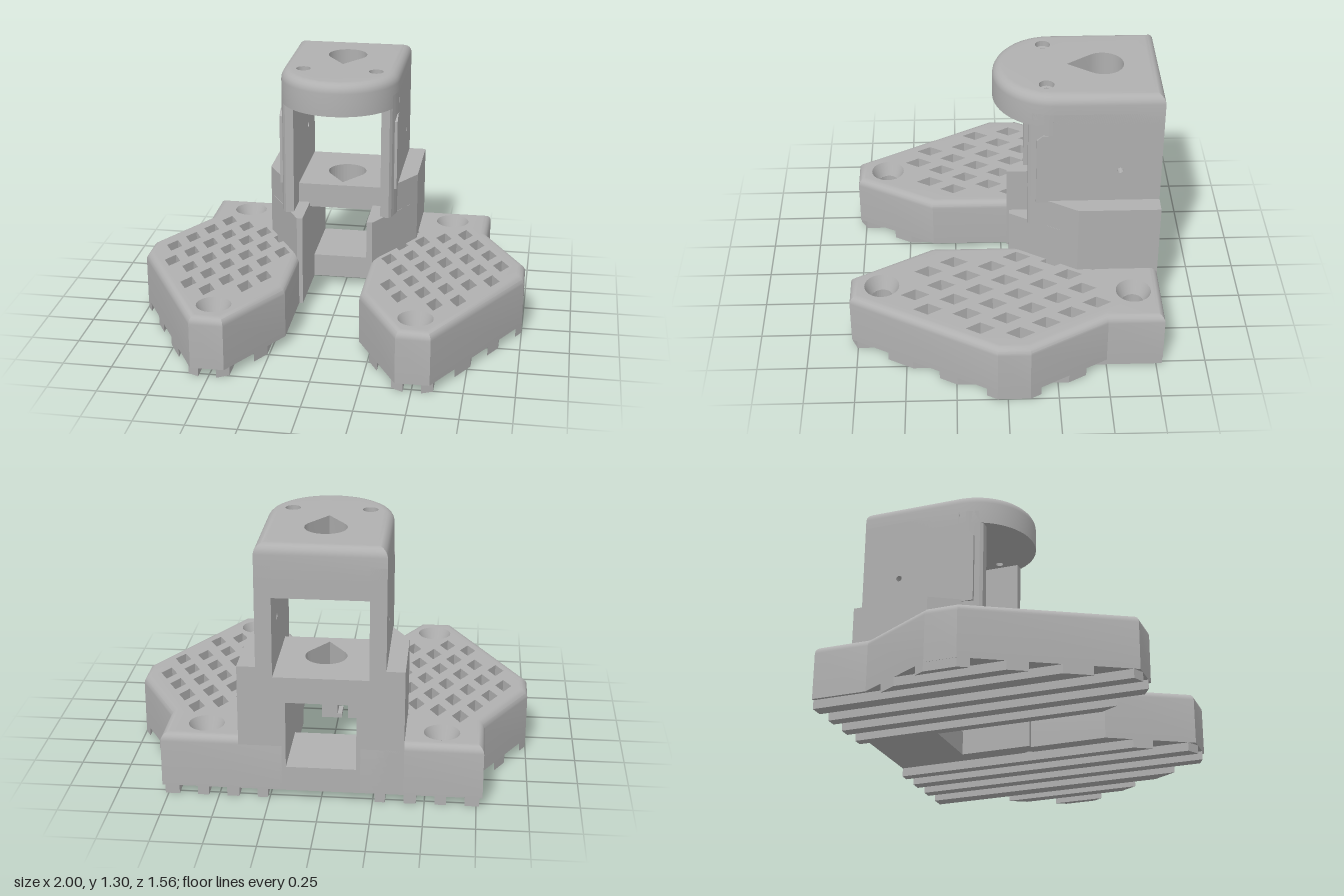
import * as THREE from 'three';
import { mergeGeometries, toCreasedNormals } from 'three/addons/utils/BufferGeometryUtils.js';

const V = (x, z) => new THREE.Vector2(x, z);
const pts = (list, s = 1) => list.map(([x, z]) => V(x * s, z));

// plan outlines, written for the +x side
const FOOT = [[0.19, -0.78], [0.78, -0.78], [0.78, -0.5], [1, -0.11], [1, 0.05], [0.59, 0.78], [0.42, 0.78], [0.19, 0.37]];
const LOWER = [[0.17, -0.78], [0.4, -0.78], [0.4, -0.37], [0.2, -0.03], [0.17, -0.03]];
const MIDDLE = [[0.23, -0.78], [0.4, -0.78], [0.4, -0.37], [0.25, -0.12], [0.23, -0.12]];
const SCREWS = [[0.575, -0.64], [0.5, 0.62]];

// vertical prism from a plan outline
function prism(outline, y0, y1, holes = []) {
  const shape = new THREE.Shape(outline);
  holes.forEach((h) => shape.holes.push(new THREE.Path(h)));
  const g = new THREE.ExtrudeGeometry(shape, { depth: y1 - y0, bevelEnabled: false });
  return g.rotateX(Math.PI / 2).translate(0, y1, 0);
}

// outline moved inward by d with mitred corners
function inset(p, d) {
  const turn = Math.sign(THREE.ShapeUtils.area(p));
  return p.map((c, i) => {
    const a = c.clone().sub(p[(i + p.length - 1) % p.length]).normalize();
    const b = p[(i + 1) % p.length].clone().sub(c).normalize();
    const n1 = V(-a.y, a.x), n2 = V(-b.y, b.x);
    return c.clone().addScaledVector(n1.clone().add(n2), (turn * d) / (1 + n1.dot(n2)));
  });
}

// prism with a rounded top rim, flat bottom and sharp holes
function roundedSlab(outline, y0, y1, r, holes) {
  const full = new THREE.ExtrudeGeometry(new THREE.Shape(outline), {
    depth: y1 - r - y0, bevelSize: r, bevelThickness: r, bevelOffset: -r, bevelSegments: 5,
  });
  full.rotateX(Math.PI / 2).translate(0, y1 - r, 0);
  const { start, count } = full.groups[1];
  const pos = full.attributes.position.array.slice(start * 3, (start + count) * 3);
  for (let i = 1; i < pos.length; i += 3) pos[i] = Math.max(pos[i], y0);
  const rim = new THREE.BufferGeometry();
  rim.setAttribute('position', new THREE.BufferAttribute(pos, 3));
  rim.computeVertexNormals();
  const core = prism(inset(outline, r), y0, y1, holes);
  core.deleteAttribute('uv');
  core.clearGroups();
  return toCreasedNormals(mergeGeometries([rim, core]), 0.5);
}

function circle(cx, cz, r, n = 24) {
  return Array.from({ length: n }, (_, i) => V(cx + r * Math.cos((i / n) * Math.PI * 2), cz + r * Math.sin((i / n) * Math.PI * 2)));
}

// circle drawn out to a point towards +z
function teardrop(cx, cz, r, k) {
  const half = Math.acos(1 / k), n = 24, out = [V(cx, cz + r * k)];
  for (let i = 0; i <= n; i++) {
    const a = Math.PI / 2 + half + (i / n) * (Math.PI * 2 - 2 * half);
    out.push(V(cx + r * Math.cos(a), cz + r * Math.sin(a)));
  }
  return out;
}

function inside(p, poly) {
  let hit = false;
  poly.forEach((a, i) => {
    const b = poly[(i + 1) % poly.length];
    if ((a.y > p.y) !== (b.y > p.y) && p.x < a.x + ((p.y - a.y) / (b.y - a.y)) * (b.x - a.x)) hit = !hit;
  });
  return hit;
}

// front and back limits of the foot at a given x
function span(x) {
  const z = [];
  FOOT.forEach(([ax, az], i) => {
    const [bx, bz] = FOOT[(i + 1) % FOOT.length];
    if ((ax > x) !== (bx > x)) z.push(az + ((x - ax) / (bx - ax)) * (bz - az));
  });
  return [Math.min(...z), Math.max(...z)];
}

// diamond holes on a grid turned by 30 degrees
function diamonds(s) {
  const limit = inset(pts(FOOT), 0.048), holes = [];
  for (let i = -3; i < 12; i++) for (let j = -8; j < 9; j++) {
    const x = 0.66 + i * 0.072 - j * 0.111, z = -0.45 + i * 0.129 + j * 0.064;
    const d = pts([[x + 0.042, z], [x, z + 0.072], [x - 0.042, z], [x, z - 0.072]]);
    const clear = SCREWS.every(([sx, sz]) => Math.hypot(x - sx, z - sz) > 0.165);
    if (z > -0.48 && clear && d.every((p) => inside(p, limit))) holes.push(d.map((p) => V(p.x * s, p.y)));
  }
  return holes;
}

export function createModel() {
  const root = new THREE.Group();
  root.name = 'mountingBracket';
  const grey = new THREE.MeshStandardMaterial({ color: 0xb0b0b0, side: THREE.DoubleSide });
  grey.name = 'plainGrey';
  const add = (name, geometry, parent = root) => {
    const m = new THREE.Mesh(geometry, grey);
    m.name = name;
    parent.add(m);
    return m;
  };
  const box = (name, x0, x1, y0, y1, z0, z1, parent) =>
    add(name, new THREE.BoxGeometry(x1 - x0, y1 - y0, z1 - z0), parent)
      .position.set((x0 + x1) / 2, (y0 + y1) / 2, (z0 + z1) / 2);

  // cap outline: straight sides and a round nose
  const nose = [];
  for (let i = 0; i <= 32; i++) {
    const a = (i / 32) * Math.PI;
    nose.push(V(0.31 * Math.cos(a), -0.25 + 0.3 * Math.sin(a)));
  }
  const capOutline = [V(-0.31, -0.78), V(0.31, -0.78), ...nose];

  for (const s of [1, -1]) {
    const side = new THREE.Group();
    side.name = s > 0 ? 'leftSide' : 'rightSide';
    root.add(side);

    // perforated foot with countersunk screw holes
    const bores = SCREWS.map(([x, z]) => circle(x * s, z, 0.088));
    add('foot', roundedSlab(pts(FOOT, s), 0.045, 0.32, 0.04, [...diamonds(s), ...bores]), side);
    SCREWS.forEach(([x, z], i) => {
      add('screwSeat', prism(bores[i], 0.045, 0.25, [teardrop(x * s, z, 0.054, 1.42)]), side);
      const cone = new THREE.LatheGeometry([V(0.056, 0.25), V(0.088, 0.32)], 24);
      add('countersink', cone, side).position.set(x * s, 0, z);
    });

    // ribs under the foot, running front to back
    for (const [a, b] of [[0.26, 0.31], [0.4, 0.46], [0.55, 0.605], [0.695, 0.765], [0.84, 0.89], [0.97, 0.999]]) {
      const [a0, a1] = span(a), [b0, b1] = span(b);
      add('rib', prism(pts([[a, a0], [b, b0], [b, b1], [a, a1]], s), 0, 0.046, []), side);
    }

    // tower side walls
    add('lowerWall', prism(pts(LOWER, s), 0.045, 0.535), side);
    add('middleWall', prism(pts(MIDDLE, s), 0.53, 0.69), side);
    const panel = new THREE.Shape(pts([[0.24, 0.55], [0.78, 0.55], [0.78, 1.25], [0.24, 1.25]]));
    panel.holes.push(new THREE.Path(circle(0.575, 0.87, 0.016, 12)));
    const panelGeo = new THREE.ExtrudeGeometry(panel, { depth: 0.08, bevelEnabled: false });
    // trim the panel top so that it stays under the rounded cap rim
    const p = panelGeo.attributes.position;
    for (let i = 0; i < p.count; i++) if (p.getY(i) > 1.2) p.setY(i, 1.2);
    add('upperWall', panelGeo.rotateY(Math.PI / 2).translate(s > 0 ? 0.23 : -0.31, 0, 0), side);
    const front = nose.filter((q) => q.x > 0 && q.y < -0.125).map((q) => [q.x, q.y]);
    add('upperWallFront', prism(pts([[0.23, -0.25], ...front, [0.274, -0.12], [0.23, -0.12]], s), 0.53, 1.2), side);

    // guide plate with a clipped top corner
    const plate = new THREE.Shape(pts([[0.16, 0.68], [0.27, 0.68], [0.27, 1.08], [0.19, 1.08], [0.16, 1.05]]));
    const plateGeo = new THREE.ExtrudeGeometry(plate, { depth: 0.04, bevelEnabled: false });
    add('guidePlate', plateGeo.rotateY(Math.PI / 2).translate(s > 0 ? 0.27 : -0.31, 0, 0), side);

    // small screw seat in the cap
    add('capScrewSeat', prism(circle(0.19 * s, -0.21, 0.038), 1.13, 1.27, [circle(0.19 * s, -0.21, 0.02, 16)]), side);
  }

  // cap with a large teardrop opening
  const opening = teardrop(0, -0.5, 0.103, 1.75);
  add('cap', roundedSlab(capOutline, 1.13, 1.3, 0.05,
    [opening, circle(0.19, -0.21, 0.038), circle(-0.19, -0.21, 0.038)]));
  box('rearLintel', -0.235, 0.235, 1.04, 1.14, -0.78, -0.72);

  // shelf between the walls
  const shelf = pts([[-0.235, -0.78], [0.235, -0.78], [0.235, -0.27], [-0.235, -0.27]]);
  add('shelf', prism(shelf, 0.51, 0.64, [opening]));

  // floor of the lower bay and the small cable clip
  box('floor', -0.2, 0.2, 0.045, 0.17, -0.78, -0.4);
  box('clipOuter', -0.175, -0.13, 0.44, 0.515, -0.77, -0.68);
  box('clipInner', -0.08, -0.005, 0.44, 0.515, -0.77, -0.68);
  box('clipLip', -0.1, -0.005, 0.44, 0.46, -0.77, -0.68);

  return root;
}
